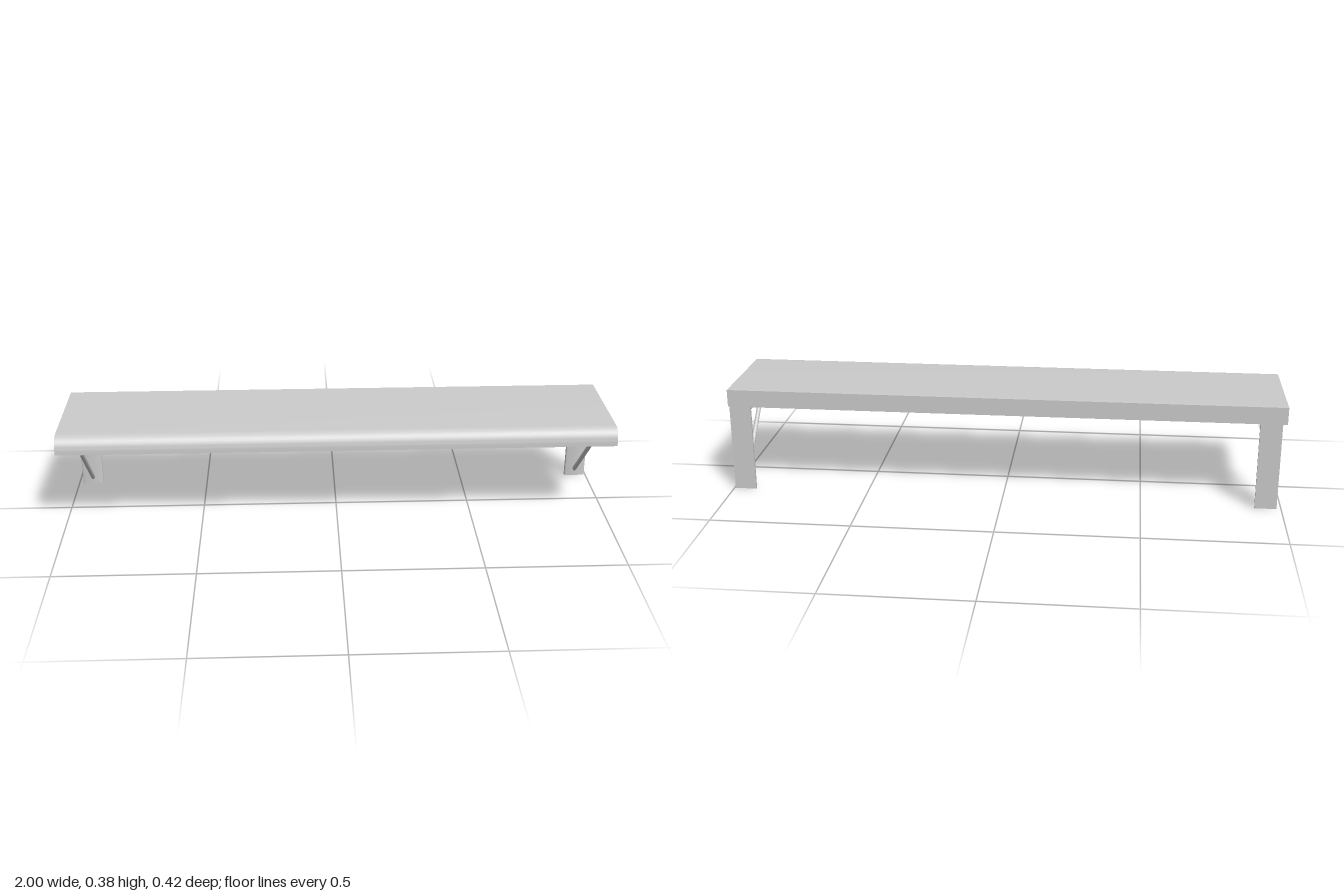
import * as THREE from 'three';
import { toCreasedNormals } from 'three/addons/utils/BufferGeometryUtils.js';

const material = new THREE.MeshStandardMaterial({ color: 0xcccccc });

function addMesh(parent, name, geometry) {
  const mesh = new THREE.Mesh(geometry, material);
  mesh.name = name;
  parent.add(mesh);
  return mesh;
}

function extrude(shape, depth) {
  const geometry = new THREE.ExtrudeGeometry(shape, { depth, bevelEnabled: false, curveSegments: 10 });
  return toCreasedNormals(geometry, 0.6);
}

// Board with a rounded front top edge, drawn in (z, y) and extruded across x
function boardGeometry() {
  const s = new THREE.Shape();
  s.moveTo(-0.21, 0.32);
  s.lineTo(0.21, 0.32);
  s.lineTo(0.21, 0.334);
  s.bezierCurveTo(0.21, 0.362, 0.194, 0.383, 0.165, 0.383);
  s.lineTo(-0.21, 0.383);
  s.closePath();
  return extrude(s, 2).rotateY(-Math.PI / 2).translate(1, 0, 0);
}

// Flat bar: square on its mounting face, rounded along the two opposite edges
const WIDTH = 0.078, THICK = 0.013, ROUND = 0.006;
function barGeometry(length) {
  const h = WIDTH / 2;
  const s = new THREE.Shape();
  s.moveTo(h, 0);
  s.lineTo(-h, 0);
  s.lineTo(-h, -THICK + ROUND);
  s.quadraticCurveTo(-h, -THICK, -h + ROUND, -THICK);
  s.lineTo(h - ROUND, -THICK);
  s.quadraticCurveTo(h, -THICK, h, -THICK + ROUND);
  s.closePath();
  return extrude(s, length);
}

// Round rod between two points
function rodGeometry(a, b, radius) {
  const dir = b.clone().sub(a);
  const geometry = new THREE.CylinderGeometry(radius, radius, dir.length(), 20);
  const turn = new THREE.Quaternion().setFromUnitVectors(new THREE.Vector3(0, 1, 0), dir.normalize());
  geometry.applyQuaternion(turn);
  const mid = a.clone().add(b).multiplyScalar(0.5);
  return geometry.translate(mid.x, mid.y, mid.z);
}

// Bracket: upright wall plate, horizontal arm and diagonal brace
function createBracket(name, x) {
  const bracket = new THREE.Group();
  bracket.name = name;
  addMesh(bracket, 'wallPlate', barGeometry(0.32).rotateX(-Math.PI / 2).translate(0, 0, -0.21));
  addMesh(bracket, 'supportArm', barGeometry(0.345).translate(0, 0.32, -0.21));
  addMesh(bracket, 'diagonalBrace', rodGeometry(
    new THREE.Vector3(0, 0.025, -0.203), new THREE.Vector3(0, 0.313, 0.09), 0.008));
  bracket.position.x = x;
  return bracket;
}

export function createModel() {
  const shelf = new THREE.Group();
  shelf.name = 'shelf';
  addMesh(shelf, 'board', boardGeometry());
  shelf.add(createBracket('leftBracket', 0.956), createBracket('rightBracket', -0.945));
  return shelf;
}
